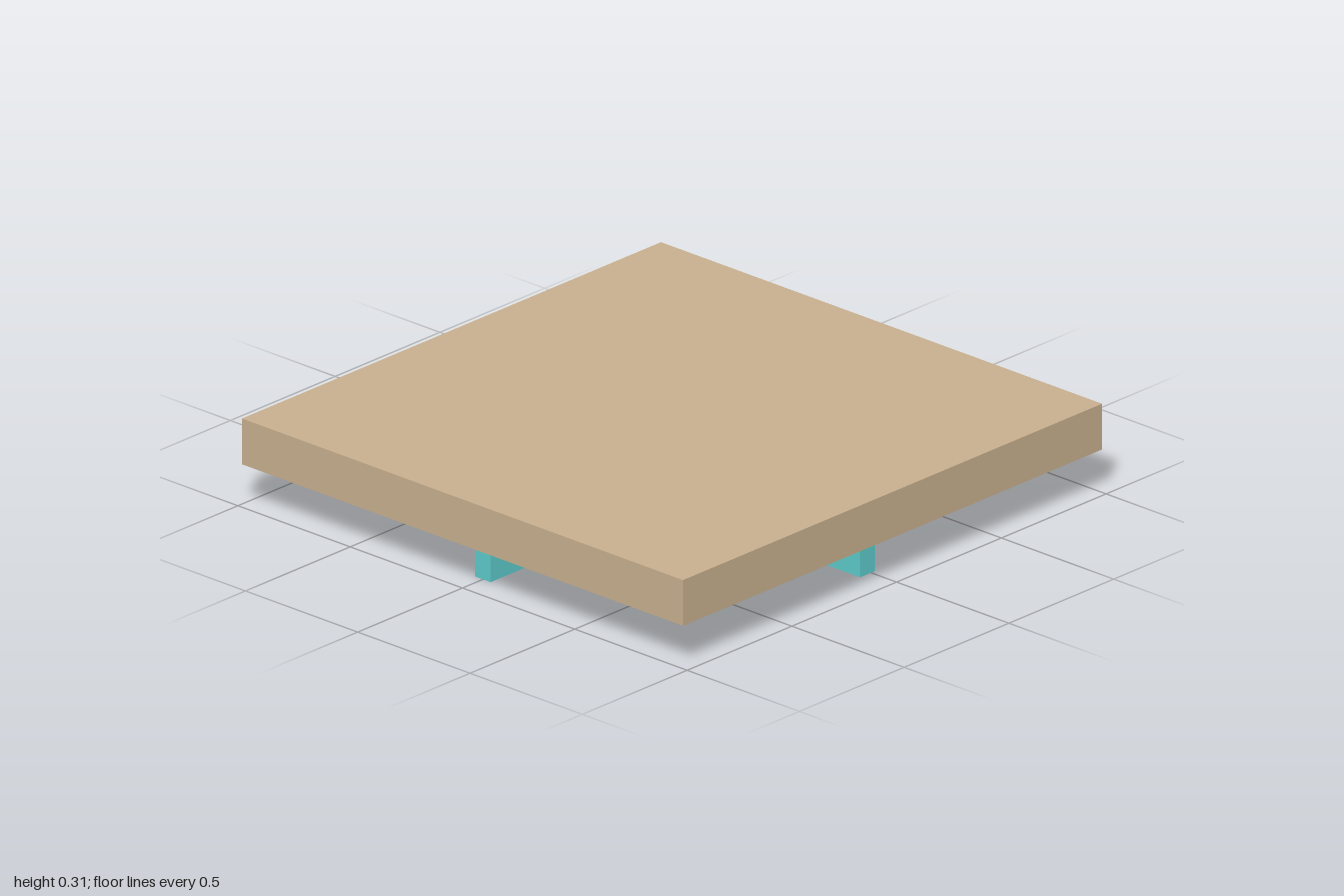
import * as THREE from 'three';

const material = (name, color) => {
  const m = new THREE.MeshStandardMaterial({ color });
  m.name = name;
  return m;
};

export function createModel() {
  const group = new THREE.Group();
  const tan = material('tan', 0xc8b08f);
  const paleTeal = material('paleTeal', 0x97c6c9);
  const teal = material('teal', 0x5ecbcb);

  // A flat block between two corners
  const slab = (name, mat, [x0, y0, z0], [x1, y1, z1]) => {
    const mesh = new THREE.Mesh(new THREE.BoxGeometry(x1 - x0, y1 - y0, z1 - z0), mat);
    mesh.position.set((x0 + x1) / 2, (y0 + y1) / 2, (z0 + z1) / 2);
    mesh.name = name;
    group.add(mesh);
  };

  slab('topSlab', tan, [-0.982, 0.152, -1], [0.982, 0.314, 1]);
  slab('underPanel', paleTeal, [-0.867, 0.088, -0.854], [0.865, 0.152, 0.885]);

  // Crossed support beams, drawn in plan as (x, -z) and extruded upwards
  const [xa, xb, xc, xd] = [-0.887, -0.035, 0.034, 0.886];
  const [za, zb, zc, zd] = [-0.902, -0.052, 0.018, 0.869];
  const plan = new THREE.Shape([
    [xb, za], [xc, za], [xc, zb], [xd, zb], [xd, zc], [xc, zc],
    [xc, zd], [xb, zd], [xb, zc], [xa, zc], [xa, zb], [xb, zb],
  ].map(([x, y]) => new THREE.Vector2(x, y)));
  const beams = new THREE.ExtrudeGeometry(plan, { depth: 0.152, bevelEnabled: false });
  beams.rotateX(-Math.PI / 2);
  const cross = new THREE.Mesh(beams, teal);
  cross.name = 'crossBeams';
  group.add(cross);

  return group;
}
